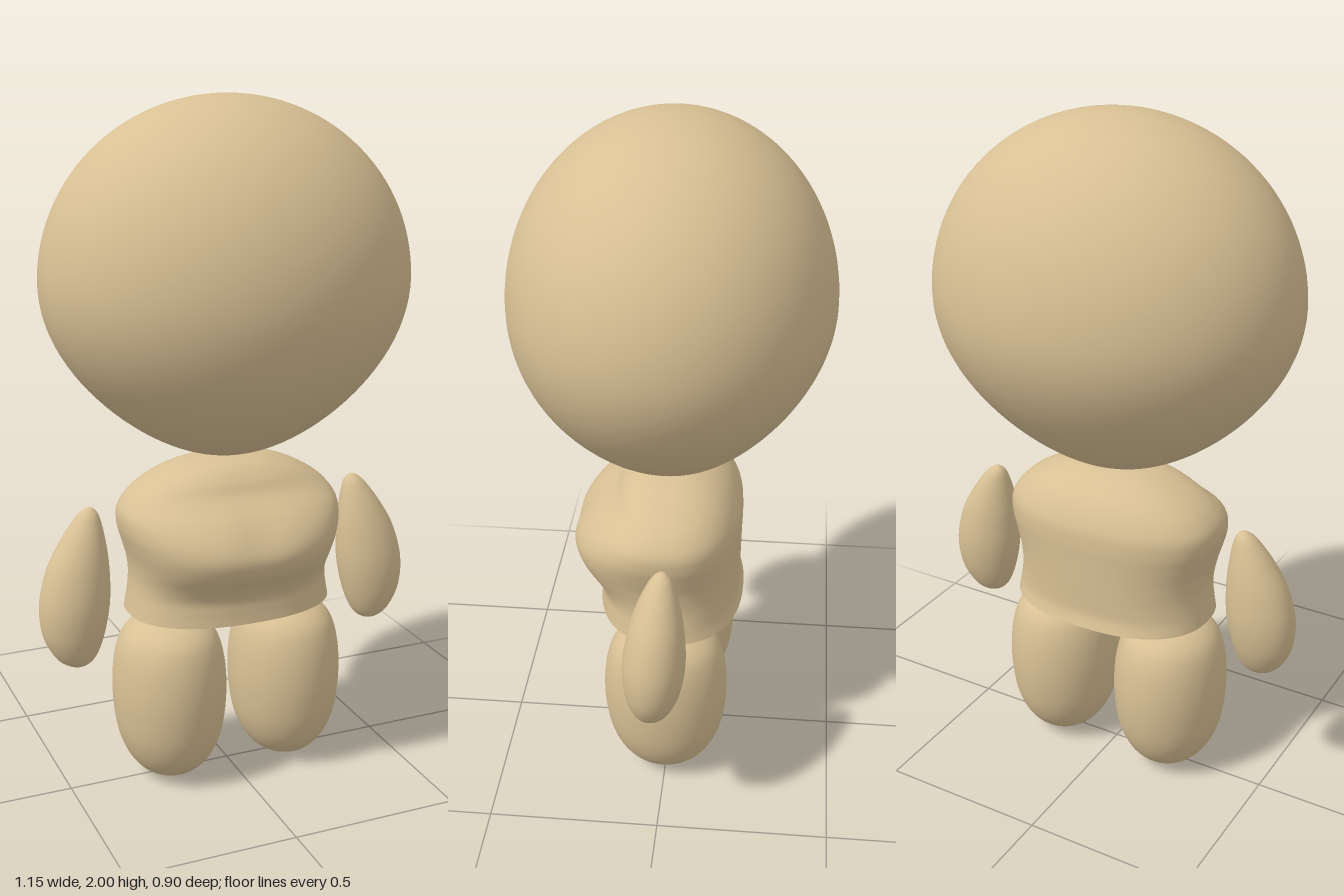
import * as THREE from 'three';
import { mergeVertices } from 'three/addons/utils/BufferGeometryUtils.js';

const material = new THREE.MeshStandardMaterial({ color: 0xd8c094 });
const shellMaterial = new THREE.MeshStandardMaterial({ color: 0xd8c094, side: THREE.DoubleSide });

// Uniform Catmull-Rom between b and c
const spline = (a, b, c, d, t) =>
  b + 0.5 * t * (c - a + t * (2 * a - 5 * b + 4 * c - d + t * (3 * (b - c) + d - a)));

// Smooth loft through rows [y, centreX, halfWidth, centreZ, front, back], bottom to top.
// power squares off the cross-sections; shape(p) may move each vertex.
function loft(rows, power = 2, shape = null, steps = 6, sides = 64) {
  // a closed end continues through its pole, an open end stops
  const ghost = (end, next) => end[2] === 0
    ? [next[0], next[1], -next[2], next[3], -next[4], -next[5]] : end;
  const n = rows.length;
  const all = [ghost(rows[0], rows[1]), ...rows, ghost(rows[n - 1], rows[n - 2])];
  const positions = [], index = [];
  const rings = (n - 1) * steps;
  const p = new THREE.Vector3();
  const bend = (v) => Math.sign(v) * Math.pow(Math.abs(v), 2 / power);
  for (let i = 0; i <= rings; i++) {
    const k = Math.min(Math.floor(i / steps), n - 2), t = i / steps - k;
    const [y, cx, w, cz, front, back] = rows[0].map((_, c) =>
      spline(all[k][c], all[k + 1][c], all[k + 2][c], all[k + 3][c], t));
    for (let j = 0; j < sides; j++) {
      const a = (j / sides) * Math.PI * 2, s = Math.sin(a);
      p.set(cx + w * bend(Math.cos(a)), y, cz + (s > 0 ? front : back) * bend(s));
      if (shape) shape(p);
      positions.push(p.x, p.y, p.z);
      if (i === rings) continue;
      const q = i * sides + j, r = i * sides + (j + 1) % sides;
      index.push(q, q + sides, r, r, q + sides, r + sides);
    }
  }
  let g = new THREE.BufferGeometry();
  g.setAttribute('position', new THREE.Float32BufferAttribute(positions, 3));
  g.setIndex(index);
  g = mergeVertices(g, 1e-5);
  g.computeVertexNormals();
  return g;
}

// Ellipsoid that narrows towards the chin, most of all at the back
function headGeometry() {
  let g = new THREE.SphereGeometry(1, 80, 56);
  const pos = g.attributes.position;
  for (let i = 0; i < pos.count; i++) {
    const x = pos.getX(i), y = pos.getY(i), z = pos.getZ(i);
    const low = Math.min(y, 0) ** 2;
    pos.setXYZ(i, x * 0.532 * (1 - 0.2 * low), 1.495 + y * 0.505,
      z * 0.45 * (1 - (0.2 - 0.1 * z) * low));
  }
  g.deleteAttribute('uv');
  g.deleteAttribute('normal');
  g = mergeVertices(g, 1e-5);
  g.computeVertexNormals();
  return g;
}

export function createModel() {
  const model = new THREE.Group();
  const add = (name, geometry, mat = material) => {
    const mesh = new THREE.Mesh(geometry, mat);
    mesh.name = name;
    model.add(mesh);
  };

  add('head', headGeometry());

  // Torso: open at the hem, full chest with a shallow dip in the middle
  const torso = [
    [0.535, 0, 0.31, 0, 0.21, 0.217],
    [0.57, 0, 0.304, 0, 0.208, 0.206],
    [0.61, 0, 0.298, 0, 0.21, 0.205],
    [0.65, 0, 0.296, 0, 0.233, 0.206],
    [0.70, 0, 0.302, 0, 0.272, 0.207],
    [0.75, 0, 0.316, 0, 0.287, 0.208],
    [0.80, 0, 0.329, 0, 0.27, 0.209],
    [0.85, 0, 0.326, 0, 0.228, 0.204],
    [0.90, 0, 0.287, 0, 0.165, 0.181],
    [0.94, 0, 0.225, 0, 0.135, 0.147],
    [0.97, 0, 0.15, 0, 0.1, 0.1],
    [0.985, 0, 0.075, 0, 0.055, 0.052],
    [0.99, 0, 0, 0, 0, 0],
  ];
  add('torso', loft(torso, 2.35, (p) => {
    if (p.z > 0) p.z -= 0.012 * Math.exp(-((p.x / 0.06) ** 2) - ((p.y - 0.81) / 0.07) ** 2);
  }), shellMaterial);

  // Arms and legs: [y, centreX, halfWidth, centreZ, halfDepth], mirrored
  const arm = [
    [0.405, 0.47, 0, 0.02, 0],
    [0.415, 0.472, 0.034, 0.019, 0.03],
    [0.445, 0.476, 0.064, 0.016, 0.055],
    [0.51, 0.479, 0.091, 0.012, 0.078],
    [0.60, 0.473, 0.102, 0.008, 0.088],
    [0.70, 0.459, 0.09, 0.003, 0.078],
    [0.78, 0.441, 0.064, -0.002, 0.058],
    [0.84, 0.425, 0.036, -0.007, 0.034],
    [0.863, 0.419, 0.017, -0.009, 0.016],
    [0.87, 0.417, 0, -0.01, 0],
  ];
  const leg = [
    [0.005, 0.187, 0, 0.003, 0],
    [0.014, 0.187, 0.05, 0.003, 0.055],
    [0.04, 0.187, 0.094, 0.003, 0.103],
    [0.09, 0.187, 0.131, 0.003, 0.144],
    [0.16, 0.187, 0.156, 0.003, 0.171],
    [0.25, 0.187, 0.167, 0.003, 0.184],
    [0.33, 0.187, 0.167, 0.003, 0.184],
    [0.405, 0.187, 0.157, 0.003, 0.173],
    [0.46, 0.187, 0.136, 0.003, 0.15],
    [0.495, 0.187, 0.098, 0.003, 0.108],
    [0.511, 0.187, 0.05, 0.003, 0.055],
    [0.515, 0.187, 0, 0.003, 0],
  ];
  for (const [side, s] of [['left', 1], ['right', -1]]) {
    const limb = (rows) => loft(rows.map(([y, x, w, z, d]) => [y, s * x, w, z, d, d]));
    add(side + 'Arm', limb(arm));
    add(side + 'Leg', limb(leg));
  }
  return model;
}
